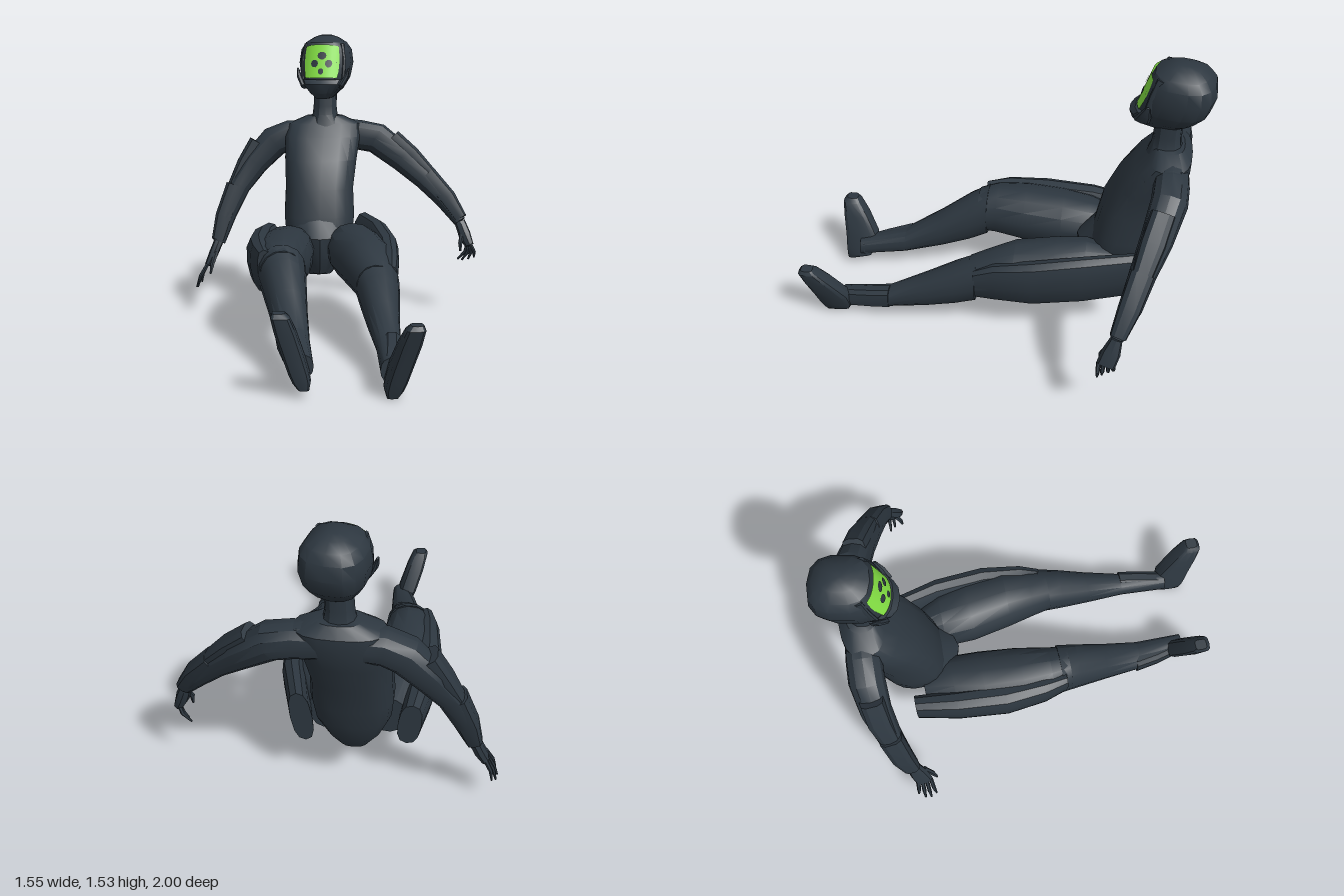
import * as THREE from 'three';
import { toCreasedNormals } from 'three/addons/utils/BufferGeometryUtils.js';

const suit = new THREE.MeshStandardMaterial({ color: 0x2d3740 });
suit.name = 'dark suit';
const glow = new THREE.MeshStandardMaterial({ color: 0x86e445, side: THREE.DoubleSide });
glow.name = 'green visor';

const V = (x, y, z) => new THREE.Vector3(x, y, z);
const sp = (v, p) => Math.sign(v) * Math.abs(v) ** p;

function add(parent, name, geometry, material = suit) {
  const mesh = new THREE.Mesh(geometry, material);
  mesh.name = name;
  parent.add(mesh);
  return mesh;
}

// Closed skin over rings; each ring lists its centre, its two axes and radii
function skin(rings, n, power) {
  const pts = rings.map(({ c, u, v, a, b }) => Array.from({ length: n }, (_, j) => {
    const t = (j / n) * Math.PI * 2;
    return c.clone().addScaledVector(u, a * sp(Math.cos(t), power)).addScaledVector(v, b * sp(Math.sin(t), power));
  }));
  const out = [];
  const tri = (...p) => p.forEach((q) => out.push(q.x, q.y, q.z));
  const last = rings.length - 1;
  for (let j = 0; j < n; j++) {
    const k = (j + 1) % n;
    for (let i = 0; i < last; i++) {
      tri(pts[i][j], pts[i][k], pts[i + 1][j]);
      tri(pts[i][k], pts[i + 1][k], pts[i + 1][j]);
    }
    tri(rings[0].c, pts[0][k], pts[0][j]);
    tri(rings[last].c, pts[last][j], pts[last][k]);
  }
  const g = new THREE.BufferGeometry();
  g.setAttribute('position', new THREE.Float32BufferAttribute(out, 3));
  return toCreasedNormals(g, 0.5);
}

// Rows: [y, x centre, half width, z front, z back], rising
const stack = (rows, n = 16, power = 0.75) => skin(rows.map(([y, x, w, f, b]) => ({
  c: V(x, y, (f + b) / 2), u: V(0, 0, 1), v: V(1, 0, 0), a: (f - b) / 2, b: w,
})), n, power);

// Rows: [z, x min, x max, y min, y max], going forward; roll turns the section
const lengthwise = (rows, n = 14, power = 0.85, roll = 0) => skin(rows.map(([z, x0, x1, y0, y1]) => ({
  c: V((x0 + x1) / 2, (y0 + y1) / 2, z),
  u: V(Math.cos(roll), Math.sin(roll), 0), v: V(-Math.sin(roll), Math.cos(roll), 0),
  a: (x1 - x0) / 2, b: (y1 - y0) / 2,
})), n, power);

// Rows: [x, y, z, radius along z, radius across], following the path
function limb(rows, n = 10, power = 0.9) {
  const p = rows.map((r) => V(r[0], r[1], r[2]));
  return skin(rows.map((r, i) => {
    const t = p[Math.min(i + 1, p.length - 1)].clone().sub(p[Math.max(i - 1, 0)]).normalize();
    const v = t.clone().cross(V(0, 0, 1)).normalize();
    return { c: p[i], u: v.clone().cross(t), v, a: r[3], b: r[4] ?? r[3] };
  }), n, power);
}

function buildHead(parent) {
  const head = new THREE.Group();
  head.name = 'head';
  head.position.set(-0.045, 0, -0.83);
  head.rotation.y = -0.2;
  parent.add(head);
  add(head, 'helmet', stack([
    [1.19, 0, 0.05, 0.16, -0.02], [1.24, 0, 0.1, 0.18, -0.09], [1.3, 0, 0.133, 0.182, -0.145],
    [1.38, 0, 0.147, 0.16, -0.168], [1.45, 0, 0.138, 0.139, -0.158], [1.49, 0, 0.112, 0.122, -0.13],
    [1.52, 0, 0.065, 0.07, -0.085], [1.532, 0, 0.03, 0.03, -0.04],
  ], 14));
  add(head, 'chinGuard', stack([
    [1.185, 0, 0.035, 0.19, 0.05], [1.215, 0, 0.068, 0.215, 0.04],
    [1.265, 0, 0.108, 0.228, 0.02], [1.29, 0, 0.122, 0.2, 0.02],
  ], 14, 0.85));
  for (const s of [-1, 1]) {
    add(head, 'cheekFin', limb([
      [s * 0.1, 1.25, 0.15, 0.04, 0.015], [s * 0.128, 1.3, 0.13, 0.03, 0.014], [s * 0.142, 1.35, 0.115, 0.01, 0.005],
    ], 8));
    add(head, 'visorFrame', limb([
      [s * 0.112, 1.28, 0.125, 0.022, 0.012], [s * 0.114, 1.4, 0.1, 0.02, 0.012], [s * 0.1, 1.48, 0.075, 0.02, 0.012],
    ], 8));
  }
  // Visor and its dots bend over the front of the helmet
  const wrap = (g, x, y, lift) => {
    g.translate(x, y, 0);
    const q = g.attributes.position;
    for (let i = 0; i < q.count; i++) {
      const px = q.getX(i), py = q.getY(i);
      q.setZ(i, 0.185 - (py - 1.3) * 0.31 - 2.4 * px * px - 120 * px ** 4 + lift);
    }
    g.computeVertexNormals();
    return g;
  };
  // Narrower foot and arched top edge
  const pane = new THREE.PlaneGeometry(0.192, 0.182, 10, 6);
  const q = pane.attributes.position;
  for (let i = 0; i < q.count; i++) {
    const px = q.getX(i), h = q.getY(i) / 0.182 + 0.5;
    q.setXY(i, px * (0.93 + 0.07 * Math.sin(h * Math.PI)), q.getY(i) - h * px * px * 1.3);
  }
  add(head, 'visor', wrap(pane, -0.003, 1.39, 0.007), glow);
  for (const [x, y, rx, ry] of [
    [0, 1.42, 0.025, 0.021], [-0.04, 1.377, 0.02, 0.021], [0.038, 1.377, 0.02, 0.021], [-0.004, 1.335, 0.015, 0.017],
  ]) add(head, 'visorDot', wrap(new THREE.CircleGeometry(1, 10).scale(rx, ry, 1), x, y, 0.011));
}

function buildArm(parent, side, path, guards, palm, tips, thumb) {
  const arm = new THREE.Group();
  arm.name = side + 'Arm';
  parent.add(arm);
  add(arm, 'sleeve', limb(path, 12));
  guards.forEach((g, i) => add(arm, i ? 'forearmGuard' : 'upperArmGuard', limb(g, 10, 0.65)));
  add(arm, 'palm', limb(palm, 8, 0.75));
  // Fingers fan out from the knuckles
  const [kx, ky, kz] = palm[palm.length - 1];
  tips.forEach(([x, y, z], i) => {
    const oz = (i - 1.5) * 0.022;
    add(arm, 'finger', limb([
      [kx, ky + 0.015, kz + oz, 0.011], [(kx + x) / 2 + Math.sign(x) * 0.012, (ky + y) / 2, (kz + oz + z) / 2, 0.01], [x, y, z, 0.005],
    ], 6));
  });
  add(arm, 'thumb', limb(thumb, 6));
}

function buildLeg(parent, side, roll, thigh, thighGuard, shin, shinGuard, heel, toe) {
  const leg = new THREE.Group();
  leg.name = side + 'Leg';
  parent.add(leg);
  add(leg, 'thigh', lengthwise(thigh, 14, 0.95, roll));
  add(leg, 'thighGuard', lengthwise(thighGuard, 12, 0.8, roll));
  add(leg, 'shin', lengthwise(shin, 14, 0.9));
  add(leg, 'ankleGuard', lengthwise(shinGuard, 10, 0.75));
  // Boot stands on its heel: offsets blend from heel to toe
  const rows = [[0, 0.024, 0.9, 0.86], [0.03, 0.042, 0.912, 0.77], [0.07, 0.048, 0.925, 0.755], [0.14, 0.05, 0.945, 0.765],
    [0.25, 0.05, 0.98, 0.845], [0.32, 0.043, 1.0, 0.905], [0.34, 0.028, 0.985, 0.925]];
  const mix = (i, y) => heel[i] + (toe[i] - heel[i]) * (y / 0.34);
  add(leg, 'boot', stack(rows.map(([y, w, f, b]) => [y + mix(1, y), mix(0, y), w, f + mix(2, y), b + mix(2, y)]), 12, 0.55));
}

export function createModel() {
  const model = new THREE.Group();
  model.name = 'seatedFigure';

  add(model, 'torso', stack([
    [0.24, -0.1, 0.075, -0.49, -0.68], [0.32, -0.1, 0.13, -0.46, -0.73], [0.43, -0.097, 0.18, -0.45, -0.77],
    [0.55, -0.095, 0.193, -0.475, -0.8], [0.7, -0.093, 0.187, -0.505, -0.84], [0.85, -0.083, 0.2, -0.57, -0.89],
    [0.97, -0.07, 0.21, -0.65, -0.92], [1.04, -0.058, 0.2, -0.71, -0.92], [1.085, -0.055, 0.1, -0.74, -0.88],
  ], 18, 0.75));
  // Wedge at the front of the hips
  add(model, 'groin', stack([
    [0.25, -0.1, 0.06, -0.45, -0.65], [0.34, -0.1, 0.11, -0.4, -0.65],
    [0.45, -0.1, 0.15, -0.39, -0.65], [0.56, -0.097, 0.16, -0.49, -0.65],
  ], 12, 1.2));
  add(model, 'shoulders', limb([
    [-0.33, 0.955, -0.835, 0.05, 0.06], [-0.2, 0.985, -0.83, 0.07, 0.072], [-0.05, 1.005, -0.82, 0.08, 0.075],
    [0.12, 0.985, -0.83, 0.07, 0.072], [0.24, 0.965, -0.825, 0.05, 0.06],
  ], 12));
  add(model, 'neck', stack([
    [1.03, -0.055, 0.095, -0.7, -0.88], [1.09, -0.055, 0.07, -0.72, -0.865],
    [1.14, -0.055, 0.064, -0.725, -0.86], [1.25, -0.05, 0.064, -0.73, -0.86],
  ], 12, 0.9));
  buildHead(model);

  buildArm(model, 'right',
    [[-0.14, 0.97, -0.83, 0.08], [-0.25, 0.97, -0.835, 0.085], [-0.34, 0.935, -0.84, 0.087], [-0.45, 0.82, -0.83, 0.077],
      [-0.54, 0.69, -0.8, 0.063], [-0.61, 0.54, -0.77, 0.056], [-0.655, 0.38, -0.73, 0.034]],
    [[[-0.43, 0.93, -0.835, 0.058, 0.055], [-0.5, 0.81, -0.825, 0.06, 0.054], [-0.56, 0.69, -0.8, 0.05, 0.045]],
      [[-0.56, 0.69, -0.795, 0.06, 0.056], [-0.625, 0.52, -0.765, 0.055, 0.052], [-0.66, 0.39, -0.735, 0.042, 0.038]]],
    [[-0.655, 0.39, -0.73, 0.03, 0.026], [-0.685, 0.32, -0.71, 0.045, 0.026], [-0.715, 0.255, -0.69, 0.045, 0.02]],
    [[-0.755, 0.15, -0.735], [-0.775, 0.13, -0.705], [-0.78, 0.135, -0.675], [-0.77, 0.16, -0.645]],
    [[-0.67, 0.33, -0.68, 0.014], [-0.69, 0.27, -0.64, 0.012], [-0.7, 0.22, -0.625, 0.006]]);
  buildArm(model, 'left',
    [[0.02, 0.97, -0.83, 0.08], [0.14, 0.97, -0.83, 0.085], [0.24, 0.95, -0.825, 0.087], [0.385, 0.84, -0.78, 0.077],
      [0.505, 0.73, -0.73, 0.063], [0.61, 0.62, -0.69, 0.054], [0.69, 0.5, -0.64, 0.034]],
    [[[0.325, 0.95, -0.8, 0.058, 0.056], [0.43, 0.855, -0.765, 0.06, 0.055], [0.525, 0.755, -0.73, 0.05, 0.045]],
      [[0.515, 0.75, -0.73, 0.06, 0.057], [0.625, 0.625, -0.685, 0.054, 0.052], [0.695, 0.515, -0.645, 0.04, 0.038]]],
    [[0.69, 0.5, -0.64, 0.028, 0.03], [0.715, 0.43, -0.62, 0.045, 0.034], [0.74, 0.37, -0.6, 0.045, 0.025]],
    [[0.68, 0.285, -0.64], [0.7, 0.285, -0.615], [0.73, 0.295, -0.585], [0.76, 0.31, -0.565]],
    [[0.7, 0.44, -0.6, 0.014], [0.685, 0.39, -0.575, 0.012], [0.685, 0.345, -0.57, 0.006]]);

  buildLeg(model, 'right', 0.12,
    [[-0.6, -0.34, -0.18, 0.28, 0.48], [-0.45, -0.42, -0.13, 0.25, 0.52], [-0.3, -0.465, -0.135, 0.24, 0.53],
      [-0.1, -0.47, -0.155, 0.24, 0.535], [0.05, -0.44, -0.185, 0.26, 0.53], [0.15, -0.41, -0.195, 0.27, 0.5]],
    [[-0.66, -0.415, -0.305, 0.27, 0.5], [-0.45, -0.46, -0.32, 0.25, 0.52], [-0.2, -0.484, -0.33, 0.25, 0.52],
      [0, -0.46, -0.335, 0.26, 0.52], [0.12, -0.42, -0.34, 0.28, 0.5]],
    [[0.1, -0.425, -0.185, 0.25, 0.52], [0.2, -0.4, -0.185, 0.2, 0.47], [0.35, -0.365, -0.185, 0.15, 0.36],
      [0.55, -0.325, -0.18, 0.1, 0.225], [0.8, -0.26, -0.17, 0.07, 0.17]],
    [[0.53, -0.335, -0.24, 0.1, 0.23], [0.65, -0.31, -0.21, 0.08, 0.2], [0.78, -0.27, -0.17, 0.065, 0.17]],
    [-0.215, 0.035, -0.02], [-0.32, 0.035, -0.1]);
  buildLeg(model, 'left', -0.15,
    [[-0.6, -0.02, 0.12, 0.28, 0.48], [-0.45, -0.06, 0.22, 0.25, 0.53], [-0.3, -0.055, 0.275, 0.235, 0.525],
      [-0.1, -0.01, 0.28, 0.23, 0.515], [0.03, 0.03, 0.275, 0.22, 0.465], [0.13, 0.06, 0.26, 0.21, 0.42]],
    [[-0.69, 0.09, 0.195, 0.27, 0.55], [-0.45, 0.14, 0.262, 0.25, 0.545], [-0.2, 0.17, 0.295, 0.23, 0.51],
      [0, 0.18, 0.28, 0.23, 0.465], [0.1, 0.185, 0.262, 0.23, 0.41]],
    [[0.09, 0.055, 0.277, 0.195, 0.435], [0.2, 0.07, 0.268, 0.155, 0.385], [0.35, 0.092, 0.252, 0.115, 0.3],
      [0.55, 0.12, 0.235, 0.08, 0.19], [0.8, 0.12, 0.21, 0.04, 0.15]],
    [[0.55, 0.15, 0.24, 0.08, 0.2], [0.65, 0.14, 0.232, 0.065, 0.18], [0.77, 0.125, 0.215, 0.045, 0.155]],
    [0.165, 0, 0], [0.26, 0, 0]);
  return model;
}
